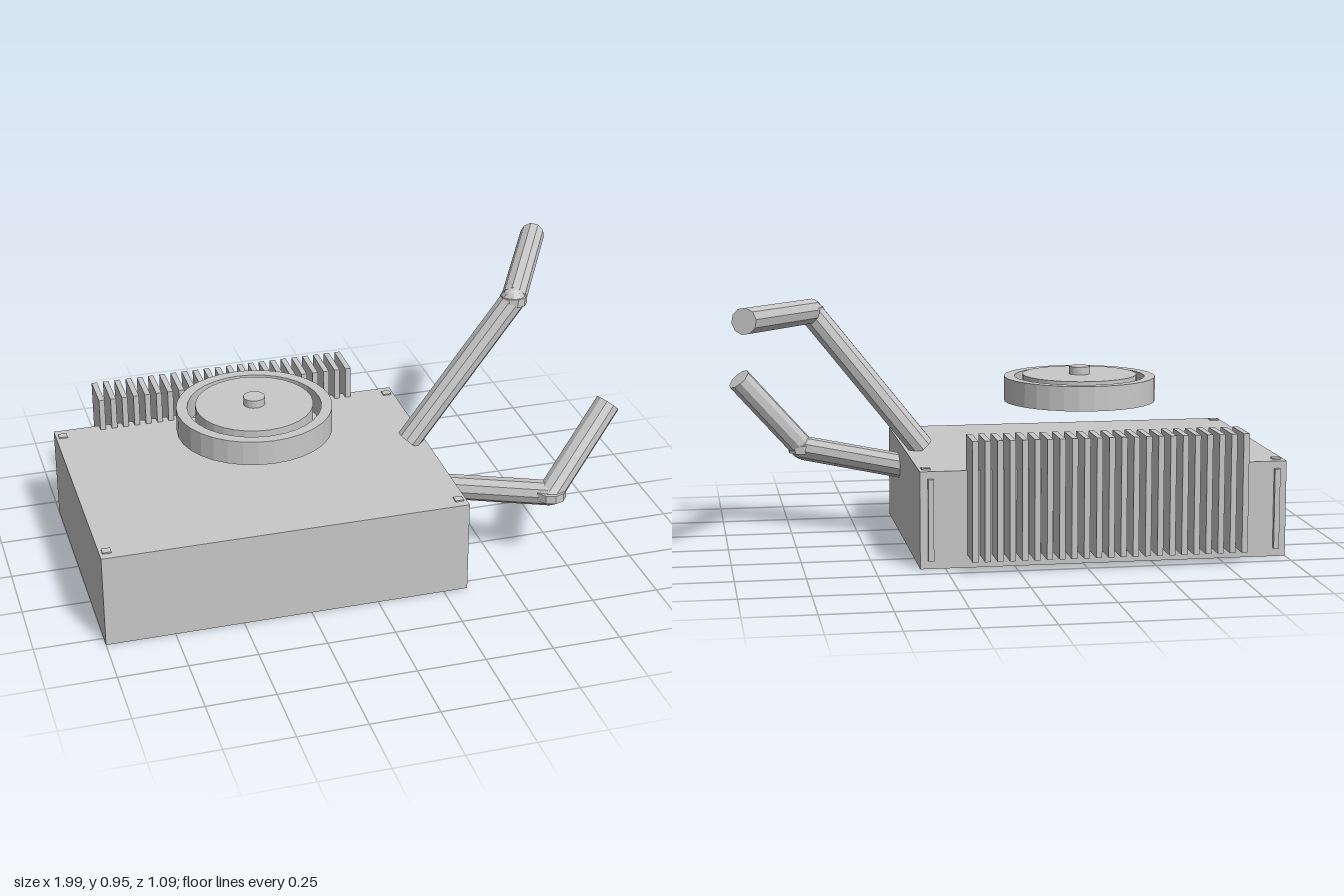
import * as THREE from 'three';

export function createModel() {
  const model = new THREE.Group();
  model.name = 'machine';
  const grey = new THREE.MeshStandardMaterial({ color: 0xc8c8c8, flatShading: true });
  grey.name = 'light grey';

  const add = (name, geometry, x, y, z, parent = model) => {
    const mesh = new THREE.Mesh(geometry, grey);
    mesh.name = name;
    mesh.position.set(x, y, z);
    parent.add(mesh);
    return mesh;
  };

  // Main case
  add('case', new THREE.BoxGeometry(1.34, 0.352, 0.966), -0.33, 0.176, 0.061);

  // Corner pads on the lid
  for (const x of [-0.973, 0.313])
    for (const z of [0.498, -0.374])
      add('cornerPad', new THREE.BoxGeometry(0.032, 0.014, 0.03), x, 0.35, z);

  // Rear upright strips
  for (const x of [-0.963, 0.302])
    add('rearStrip', new THREE.BoxGeometry(0.02, 0.295, 0.03), x, 0.178, -0.423);

  // Cooling fins
  const fins = new THREE.Group();
  fins.name = 'coolingFins';
  model.add(fins);
  const finGeometry = new THREE.BoxGeometry(0.021, 0.432, 0.154);
  for (let i = 0; i < 23; i++)
    add('fin', finGeometry, -0.815 + i * 0.0443, 0.261, -0.464, fins);

  // Wheel: hollow rim, inner disc and axle
  const wheel = new THREE.Group();
  wheel.name = 'wheel';
  wheel.position.set(-0.33, 0.565, 0.062);
  model.add(wheel);
  const rimProfile = [[0.245, -0.046], [0.285, -0.046], [0.285, 0.046], [0.245, 0.046], [0.245, -0.046]]
    .map(([r, y]) => new THREE.Vector2(r, y));
  add('rim', new THREE.LatheGeometry(rimProfile, 32), 0, 0, 0, wheel);
  add('disc', new THREE.CylinderGeometry(0.215, 0.215, 0.107, 32), 0, 0, 0, wheel);
  add('axle', new THREE.CylinderGeometry(0.04, 0.04, 0.165, 16), 0, 0, 0, wheel);

  // Jointed arms
  const up = new THREE.Vector3(0, 1, 0);
  const rod = (name, a, b, parent) => {
    const dir = b.clone().sub(a);
    const mid = a.clone().add(b).multiplyScalar(0.5);
    const mesh = add(name, new THREE.CylinderGeometry(0.047, 0.047, dir.length(), 10), mid.x, mid.y, mid.z, parent);
    mesh.quaternion.setFromUnitVectors(up, dir.normalize());
  };
  const arm = (name, shoulder, elbow, tip, collarRadius) => {
    const group = new THREE.Group();
    group.name = name;
    model.add(group);
    const [a, b, c] = [shoulder, elbow, tip].map((p) => new THREE.Vector3(...p));
    rod('upperArm', a, b, group);
    rod('forearm', b, c, group);
    add('elbowBall', new THREE.SphereGeometry(0.046, 10, 8), b.x, b.y, b.z, group);
    add('elbowCollar', new THREE.CylinderGeometry(collarRadius, collarRadius, 0.032, 10), b.x, b.y, b.z, group);
  };
  arm('rearArm', [0.275, 0.36, 0.03], [0.686, 0.88, 0.002], [0.95, 0.907, -0.5], 0.05);
  arm('frontArm', [0.275, 0.25, 0.186], [0.687, 0.294, 0.45], [0.935, 0.584, 0.357], 0.058);

  return model;
}
